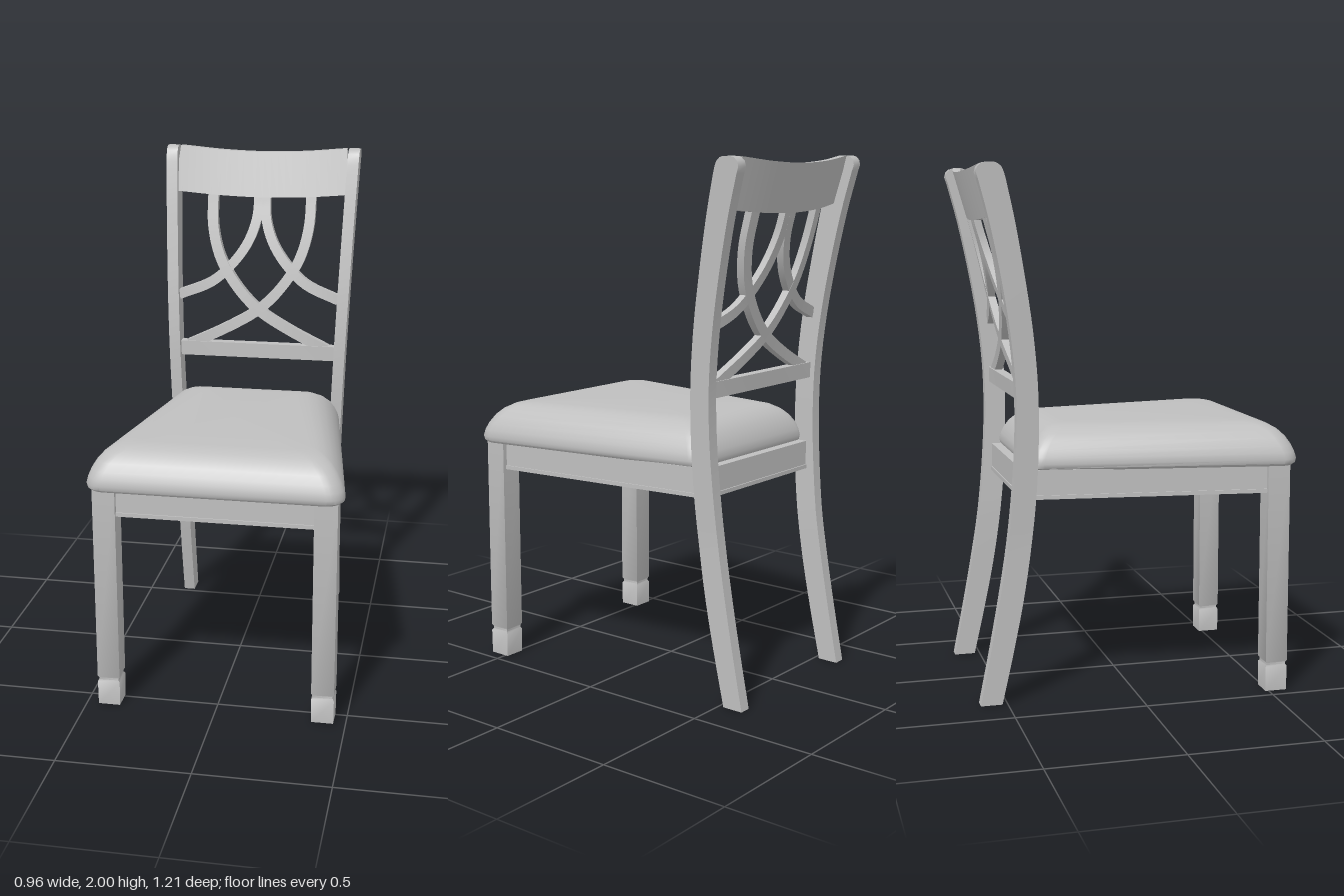
import * as THREE from 'three';
import { toCreasedNormals } from 'three/addons/utils/BufferGeometryUtils.js';

const paint = new THREE.MeshStandardMaterial({ color: 0xbfbfbf });
paint.name = 'light grey';

const V = (x, y, z) => new THREE.Vector3(x, y, z);

// Skin a list of equal-sized rings (counter-clockwise about the direction of travel) and cap both ends
function loft(rings) {
  const pos = [];
  const tri = (...pts) => pts.forEach(p => pos.push(p.x, p.y, p.z));
  const n = rings[0].length;
  for (let i = 0; i < rings.length - 1; i++) {
    for (let j = 0; j < n; j++) {
      const k = (j + 1) % n;
      const a = rings[i][j], b = rings[i][k], c = rings[i + 1][k], d = rings[i + 1][j];
      tri(a, b, c);
      tri(a, c, d);
    }
  }
  const centre = ring => ring.reduce((s, p) => s.add(p), V(0, 0, 0)).divideScalar(n);
  const first = rings[0], last = rings[rings.length - 1];
  const c0 = centre(first), c1 = centre(last);
  for (let j = 0; j < n; j++) {
    const k = (j + 1) % n;
    tri(c0, first[k], first[j]);
    tri(c1, last[j], last[k]);
  }
  const g = new THREE.BufferGeometry();
  g.setAttribute('position', new THREE.Float32BufferAttribute(pos, 3));
  return toCreasedNormals(g, 0.65);
}

// Horizontal rectangle ring
const rect = (y, xa, xb, zBack, zFront) => {
  const x0 = Math.min(xa, xb), x1 = Math.max(xa, xb);
  return [V(x1, y, zFront), V(x1, y, zBack), V(x0, y, zBack), V(x0, y, zFront)];
};

// Seat outline: rounded trapezoid, inset by d
function seatRing(y, d) {
  const ring = [];
  const corners = [[1, 1], [1, -1], [-1, -1], [-1, 1]];
  corners.forEach(([sx, sz], q) => {
    const r = sz > 0 ? 0.06 : 0.05;
    const cx = sx * ((sz > 0 ? 0.478 : 0.355) - d - r);
    const cz = sz > 0 ? 0.605 - d - r : -0.405 + d + r;
    for (let i = 0; i <= 6; i++) {
      const a = (q - 1 + i / 6) * Math.PI / 2;
      ring.push(V(cx + r * Math.cos(a), y, cz - r * Math.sin(a)));
    }
  });
  return ring;
}

// Leaning, bowed surface that carries the whole backrest
function backZ(x, y) {
  const d = Math.max(0, y - 1.17);
  const bow = 0.04 * (1 - (x / 0.34) ** 2) * Math.min(1, d / 0.6);
  return -0.421 - 0.2 * d * d - bow;
}

// Flat bar following a front-view path on the backrest surface
function backBar(points, width, depth, steps) {
  const curve = new THREE.CatmullRomCurve3(points.map(([x, y]) => V(x, y, 0)));
  const rings = [];
  for (let i = 0; i <= steps; i++) {
    const p = curve.getPoint(i / steps), t = curve.getTangent(i / steps);
    rings.push([[1, 1], [-1, 1], [-1, -1], [1, -1]].map(([u, v]) => {
      const x = p.x - t.y * u * width / 2, y = p.y + t.x * u * width / 2;
      return V(x, y, backZ(x, y) + v * depth / 2);
    }));
  }
  return loft(rings);
}

export function createModel() {
  const chair = new THREE.Group();
  chair.name = 'diningChair';
  const add = (name, geometry) => {
    const m = new THREE.Mesh(geometry, paint);
    m.name = name;
    chair.add(m);
    return m;
  };

  // Padded seat
  const pad = [[0.88, 0.012], [0.889, 0.003], [0.905, 0], [0.93, 0.006], [0.955, 0.016], [0.985, 0.034],
    [1.01, 0.058], [1.028, 0.088], [1.037, 0.12], [1.04, 0.155]];
  add('seat', loft(pad.map(([y, d]) => seatRing(y, d))));

  // Apron boards with a bead along the lower edge
  const apron = (name, x0, z0, x1, z1) => {
    const length = Math.hypot(x1 - x0, z1 - z0);
    [[name, 0.79, 0.885, 0.04], [name + 'Bead', 0.775, 0.79, 0.05]].forEach(([label, y0, y1, depth]) => {
      const m = add(label, new THREE.BoxGeometry(length, y1 - y0, depth));
      m.position.set((x0 + x1) / 2, (y0 + y1) / 2, (z0 + z1) / 2);
      m.rotation.y = -Math.atan2(z1 - z0, x1 - x0);
    });
  };
  apron('frontApron', -0.375, 0.535, 0.375, 0.535);
  apron('backApron', -0.315, -0.415, 0.315, -0.415);

  // Rear post side profile: front z, height, back z
  const profile = new THREE.CatmullRomCurve3([
    [-0.52, 0, -0.602], [-0.475, 0.2, -0.562], [-0.435, 0.4, -0.525], [-0.405, 0.6, -0.493],
    [-0.385, 0.8, -0.472], [-0.377, 1, -0.46], [-0.38, 1.2, -0.462], [-0.398, 1.4, -0.482],
    [-0.428, 1.6, -0.515], [-0.464, 1.8, -0.557], [-0.495, 1.94, -0.594],
  ].map(p => V(...p)));
  const postRows = profile.getPoints(36).map(p => [p.y, p.x, p.z]);
  postRows.push([1.965, -0.502, -0.602], [1.983, -0.51, -0.597], [1.995, -0.523, -0.585], [2, -0.537, -0.567]);

  const legRows = [[0, 0.042], [0.095, 0.043], [0.102, 0.038], [0.11, 0.038], [0.118, 0.043], [0.89, 0.043]];

  for (const s of [1, -1]) {
    const side = s > 0 ? 'left' : 'right';
    apron(side + 'Apron', s * 0.418, 0.5, s * 0.328, -0.4);

    // Square front leg with a grooved foot
    add(side + 'FrontLeg', loft(legRows.map(([y, h]) =>
      rect(y, s * (0.412 - h), s * (0.412 + h), 0.529 - h, 0.529 + h))));

    // Curved rear leg and back post in one piece
    add(side + 'BackPost', loft(postRows.map(([y, zf, zb]) => {
      const x = 0.35 + 0.05 * Math.max(0, y - 0.6) / 1.4;
      return rect(y, s * (x - 0.046), s * x, zb, zf);
    })));

    // Interlaced lattice: one long crossing bar and one branch from the centre per side
    add(side + 'CrossBar', backBar([[-0.205, 1.82], [-0.2, 1.68], [-0.165, 1.55], [-0.09, 1.43],
      [0, 1.34], [0.13, 1.262], [0.29, 1.185]].map(([x, y]) => [s * x, y]), 0.042, 0.03, 28));
    add(side + 'BranchBar', backBar([[0.014, 1.82], [0.02, 1.71], [0.055, 1.61], [0.12, 1.52],
      [0.2, 1.45], [0.335, 1.395]].map(([x, y]) => [s * x, y]), 0.04, 0.028, 24));
  }

  // Backrest rails
  add('topRail', backBar([[-0.355, 1.91], [-0.18, 1.892], [0, 1.885], [0.18, 1.892], [0.355, 1.91]], 0.18, 0.032, 24));
  add('lowerRail', backBar([[-0.335, 1.17], [0, 1.17], [0.335, 1.17]], 0.06, 0.04, 8));

  return chair;
}
